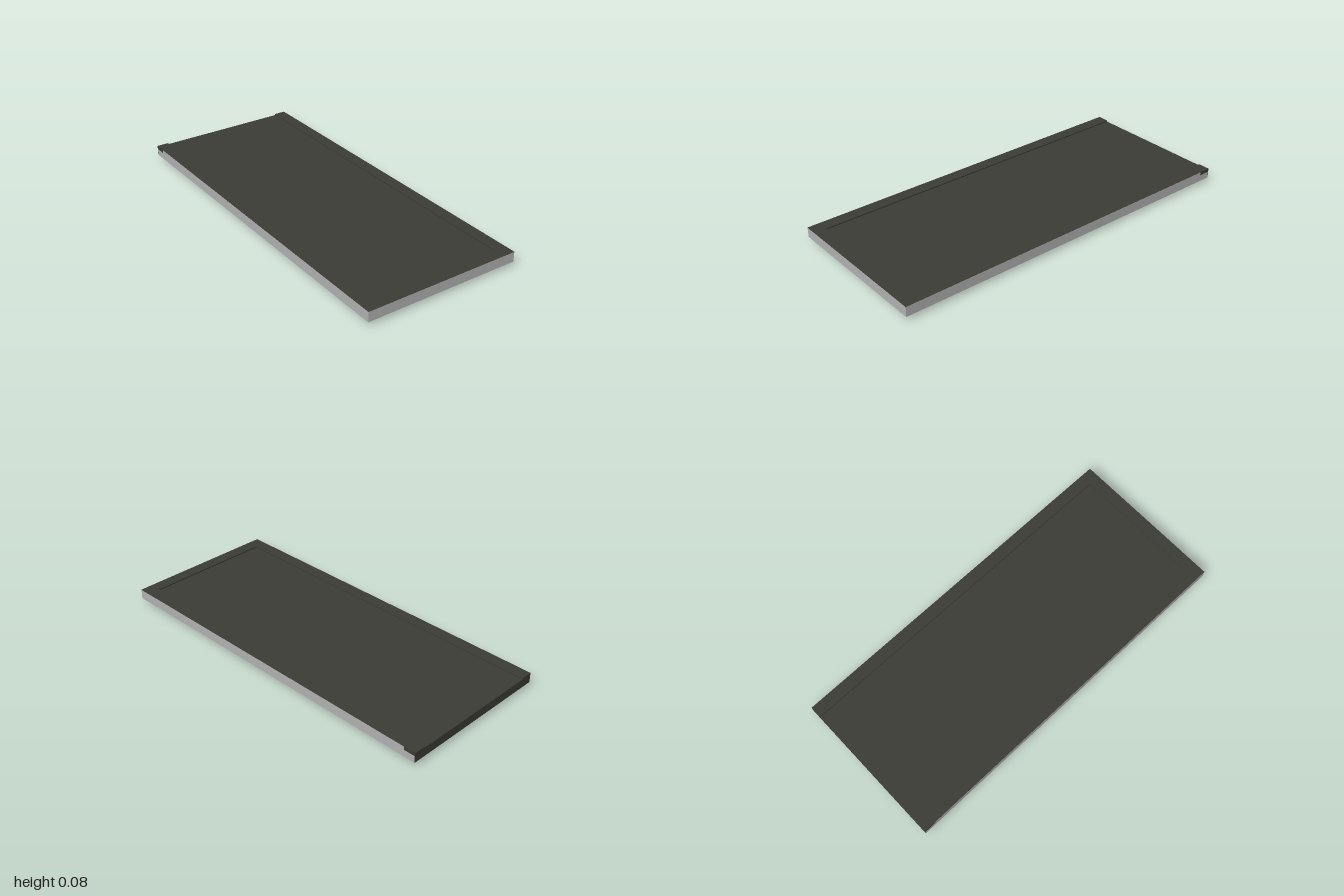
import * as THREE from 'three';

const HALF_W = 0.431, HALF_L = 1, RAIL = 0.066;
const FACE_Y = 0.024, TOP_Y = 0.079, DECK_Y = 0.072;

export function createModel() {
  const door = new THREE.Group();
  door.name = 'door';
  const grey = new THREE.MeshStandardMaterial({ color: 0xb0b0b0 });
  grey.name = 'pale grey paint';
  const dark = new THREE.MeshStandardMaterial({ color: 0x3c3c35 });
  dark.name = 'dark olive';

  // Box given by its minimum and maximum on each axis
  function box(name, material, x0, x1, y0, y1, z0, z1) {
    const mesh = new THREE.Mesh(new THREE.BoxGeometry(x1 - x0, y1 - y0, z1 - z0), material);
    mesh.position.set((x0 + x1) / 2, (y0 + y1) / 2, (z0 + z1) / 2);
    mesh.name = name;
    door.add(mesh);
    return mesh;
  }

  // Main slab, with the dark end bar at the back
  const endZ = -HALF_L + 0.002, barZ = -HALF_L + RAIL;
  box('slabCore', grey, -HALF_W, HALF_W, FACE_Y + 0.002, 0.06, endZ, HALF_L);
  box('slabUpper', grey, -HALF_W, HALF_W, 0.06, DECK_Y - 0.002, barZ, HALF_L);
  box('endBar', dark, -HALF_W, HALF_W, 0.06, DECK_Y, endZ, barZ);
  box('endPlate', dark, -HALF_W, HALF_W, FACE_Y, DECK_Y, -HALF_L, endZ);

  // Recessed dark deck, open at the back
  box('deck', dark, -HALF_W + RAIL, HALF_W - RAIL, DECK_Y - 0.002, DECK_Y, barZ, HALF_L - RAIL);

  // Raised edge rails with dark tops
  const cap = TOP_Y - 0.001;
  for (const s of [-1, 1]) {
    const x0 = s < 0 ? -HALF_W : HALF_W - RAIL;
    const x1 = x0 + RAIL;
    const side = s > 0 ? 'left' : 'right';
    box(side + 'Rail', grey, x0, x1, DECK_Y - 0.002, cap, barZ, HALF_L);
    box(side + 'RailTop', dark, x0, x1, cap, TOP_Y, barZ, HALF_L);
    box(side + 'RailEnd', dark, x0, x1, DECK_Y, TOP_Y, -HALF_L, barZ);
    // Dark lining on the inner wall of the rail
    const inner = s * (HALF_W - RAIL);
    box(side + 'RailLining', dark, inner - 0.001, inner + 0.001, DECK_Y, TOP_Y, barZ, HALF_L - RAIL);
  }
  const fx = HALF_W - RAIL, fz = HALF_L - RAIL;
  box('frontRail', grey, -fx, fx, DECK_Y - 0.002, cap, fz, HALF_L);
  box('frontRailTop', dark, -fx, fx, cap, TOP_Y, fz, HALF_L);
  box('frontRailLining', dark, -fx, fx, DECK_Y, TOP_Y, fz - 0.001, fz + 0.001);

  // Thin border round the panelled face
  const outline = new THREE.Shape([
    new THREE.Vector2(-HALF_W, endZ), new THREE.Vector2(HALF_W, endZ),
    new THREE.Vector2(HALF_W, HALF_L), new THREE.Vector2(-HALF_W, HALF_L),
  ]);
  outline.holes.push(new THREE.Path([
    new THREE.Vector2(-fx, -fz), new THREE.Vector2(-fx, fz),
    new THREE.Vector2(fx, fz), new THREE.Vector2(fx, -fz),
  ]));
  const borderGeo = new THREE.ExtrudeGeometry(outline, { depth: 0.002, bevelEnabled: false });
  borderGeo.rotateX(Math.PI / 2);
  const border = new THREE.Mesh(borderGeo, grey);
  border.name = 'faceBorder';
  border.position.y = FACE_Y + 0.002;
  door.add(border);

  // Four raised panels: two short, two long
  for (const s of [-1, 1]) {
    for (const [name, z0, z1] of [['longPanel', -0.05, 0.73], ['shortPanel', -0.84, -0.33]]) {
      const xa = s * 0.038, xb = s * 0.275;
      box(name, grey, Math.min(xa, xb), Math.max(xa, xb), 0.02, FACE_Y + 0.003, z0, z1);
    }
  }

  // Lever handle on a short stem
  const lever = new THREE.Mesh(new THREE.CylinderGeometry(0.0098, 0.0098, 0.093, 8), dark);
  lever.geometry.rotateY(Math.PI / 8);
  lever.geometry.rotateZ(Math.PI / 2);
  lever.geometry = lever.geometry.toNonIndexed();
  lever.geometry.computeVertexNormals();
  lever.name = 'handle';
  lever.position.set(-0.277, 0.0091, -0.06);
  door.add(lever);
  box('handleStem', dark, -0.318, -0.304, 0.012, FACE_Y + 0.003, -0.067, -0.053);

  return door;
}
